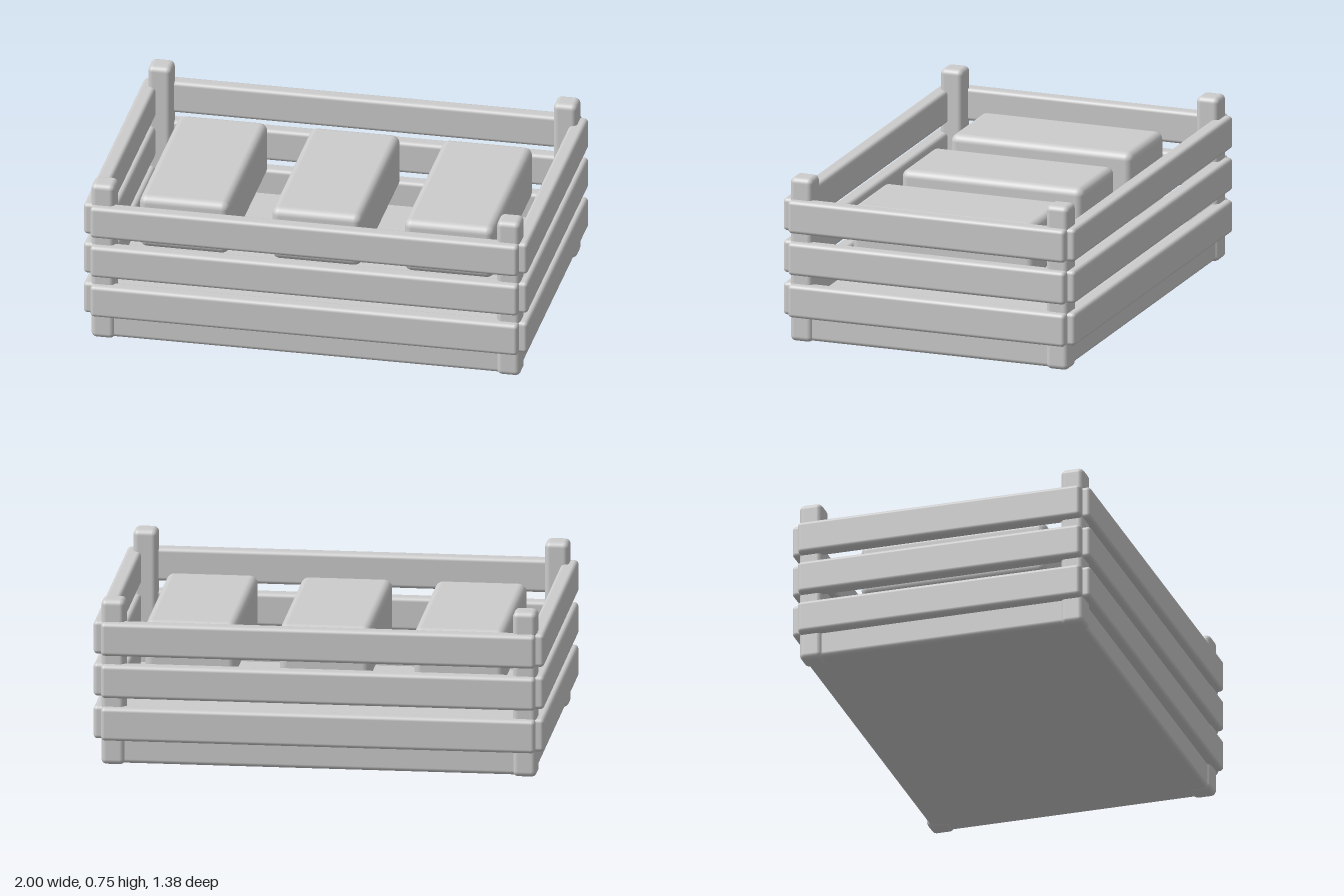
import * as THREE from 'three';
import { RoundedBoxGeometry } from 'three/addons/geometries/RoundedBoxGeometry.js';

export function createModel() {
  const model = new THREE.Group();
  model.name = 'slattedCrate';
  const grey = new THREE.MeshStandardMaterial({ color: 0xcccccc });
  grey.name = 'plain grey';

  // Rounded block given by size and centre
  function block(name, size, centre, radius) {
    const mesh = new THREE.Mesh(new RoundedBoxGeometry(...size, 4, radius), grey);
    mesh.name = name;
    mesh.position.set(...centre);
    model.add(mesh);
  }

  // Floor slab, almost flush with the outer post faces
  block('floor', [1.91, 0.145, 1.29], [0, 0.0775, 0], 0.02);

  // Corner posts
  for (const x of [-0.913, 0.913]) {
    for (const z of [-0.605, 0.605]) {
      block('cornerPost', [0.106, 0.75, 0.106], [x, 0.375, z], 0.024);
    }
  }

  // Three rows of slats around all four sides
  for (const y of [0.191, 0.385, 0.577]) {
    for (const side of [-1, 1]) {
      block('longSlat', [1.926, 0.15, 0.07], [0, y, side * 0.656], 0.018);
      block('endSlat', [0.07, 0.15, 1.31], [side * 0.965, y, 0], 0.018);
    }
  }

  // Three blocks held inside the crate
  for (const x of [-0.596, 0, 0.596]) {
    block('innerBlock', [0.404, 0.25, 0.86], [x, 0.475, 0], 0.035);
  }

  return model;
}
